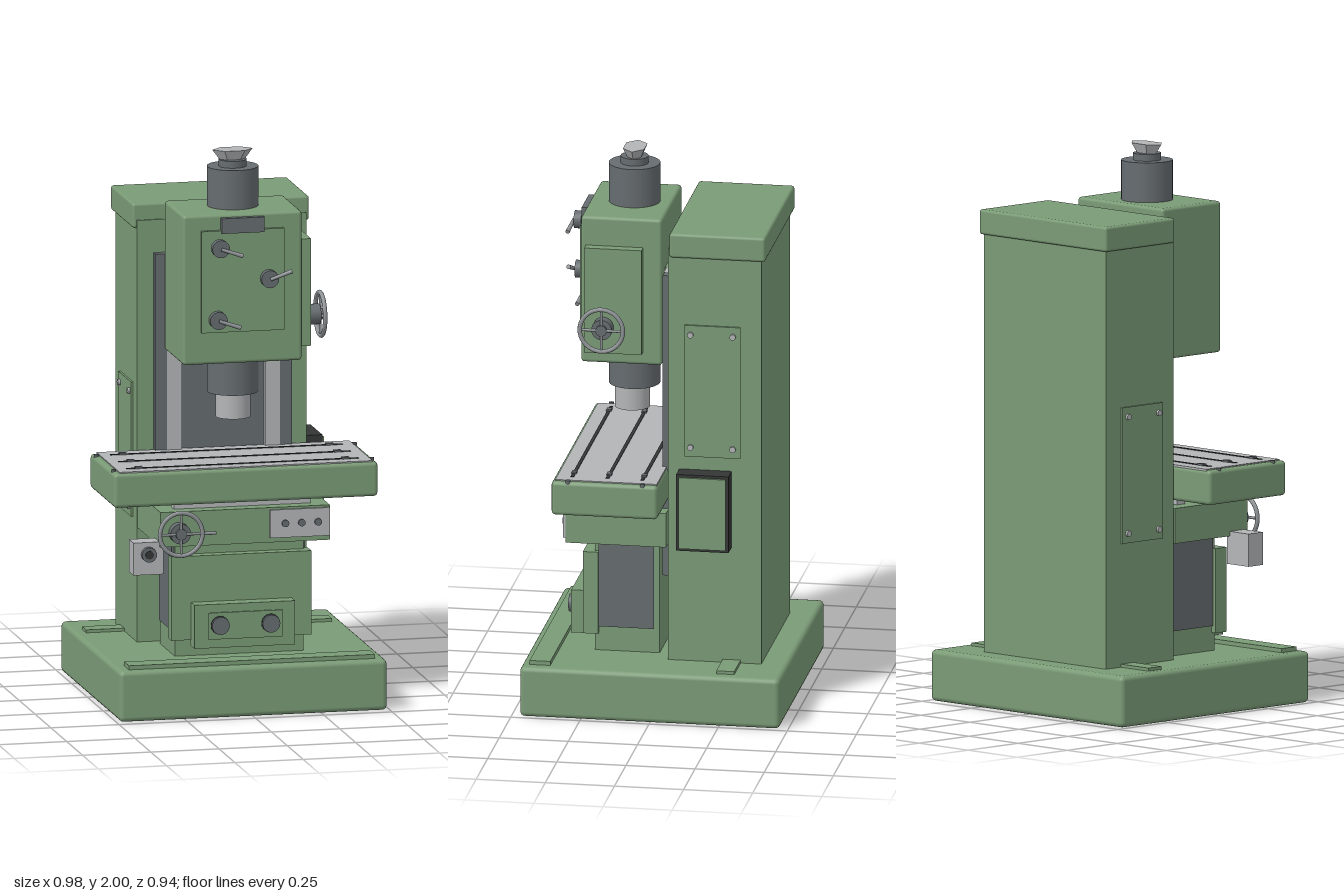
import * as THREE from 'three';
import { RoundedBoxGeometry } from 'three/addons/geometries/RoundedBoxGeometry.js';

const mat = (name, color) => {
  const m = new THREE.MeshStandardMaterial({ color });
  m.name = name;
  return m;
};

export function createModel() {
  const green = mat('machine green', 0x7a9b76);
  const grey = mat('dark grey steel', 0x666c70);
  const light = mat('light steel', 0xb3b5b7);
  const black = mat('black', 0x343535);
  const bright = mat('handle steel', 0x8f9396);
  const root = new THREE.Group();
  root.name = 'millingMachine';

  const add = (name, geometry, material, parent = root) => {
    const mesh = new THREE.Mesh(geometry, material);
    mesh.name = name;
    parent.add(mesh);
    return mesh;
  };
  // Box from its extents, with an optional softened edge
  const box = (name, material, [x0, x1], [y0, y1], [z0, z1], r = 0) => {
    const s = [x1 - x0, y1 - y0, z1 - z0];
    const g = r ? new RoundedBoxGeometry(...s, 2, r) : new THREE.BoxGeometry(...s);
    return add(name, g.translate((x0 + x1) / 2, (y0 + y1) / 2, (z0 + z1) / 2), material);
  };
  // Cylinder between two points
  const rod = (name, material, a, b, r, r2 = r, sides = 24, parent = root) => {
    const p = new THREE.Vector3(...a), q = new THREE.Vector3(...b);
    const d = q.clone().sub(p);
    const mesh = add(name, new THREE.CylinderGeometry(r2, r, d.length(), sides), material, parent);
    mesh.position.copy(p).add(q).multiplyScalar(0.5);
    mesh.quaternion.setFromUnitVectors(new THREE.Vector3(0, 1, 0), d.normalize());
    return mesh;
  };
  // Spoked wheel facing +z
  const handwheel = (name, x, y, z) => {
    const wheel = new THREE.Group();
    wheel.name = name;
    wheel.position.set(x, y, z);
    add('rim', new THREE.TorusGeometry(0.078, 0.008, 10, 40), bright, wheel);
    for (let i = 0; i < 4; i++) {
      const a = i * Math.PI / 2;
      rod('spoke', bright, [0, 0, 0], [0.078 * Math.cos(a), 0.078 * Math.sin(a), 0], 0.005, 0.005, 8, wheel);
    }
    rod('hub', grey, [0, 0, -0.045], [0, 0, -0.004], 0.037, 0.037, 24, wheel);
    rod('hubCap', grey, [0, 0, -0.01], [0, 0, 0.008], 0.02, 0.02, 24, wheel);
    root.add(wheel);
    return wheel;
  };

  // Base with floor strips
  box('base', green, [-0.49, 0.49], [0, 0.185], [-0.47, 0.47], 0.018);
  box('frontStrip', green, [-0.45, 0.45], [0.18, 0.2], [0.365, 0.44]);
  box('rearStrip', green, [-0.45, 0.45], [0.18, 0.196], [-0.3, -0.235]);

  // Column, cap and vertical ways
  box('column', green, [-0.31, 0.31], [0.17, 1.72], [-0.375, -0.037]);
  box('columnCap', green, [-0.325, 0.322], [1.69, 1.78], [-0.39, -0.043], 0.01);
  box('wayPlate', grey, [-0.19, 0.19], [0.48, 1.6], [-0.04, -0.031]);
  for (const s of [-1, 1]) {
    const span = (a, b) => (s > 0 ? [a, b] : [-b, -a]);
    box('way', grey, span(0.19, 0.25), [0.48, 1.6], [-0.04, -0.008]);
    box('wayFace', light, span(0.152, 0.207), [0.48, 1.6], [-0.037, -0.005]);
    // Service cover with corner bolts
    const y0 = s > 0 ? 0.95 : 0.63;
    box('serviceCover', green, span(0.305, 0.318), [y0, y0 + 0.49], [-0.3, -0.098]);
    for (const y of [y0 + 0.035, y0 + 0.455]) for (const z of [-0.12, -0.273])
      rod('coverBolt', light, [s * 0.315, y, z], [s * 0.327, y, z], 0.011, 0.011, 12);
  }
  box('headCarriage', green, [-0.15, 0.15], [1.28, 1.6], [-0.035, 0.01]);

  // Electrical box on the column
  box('electricalBox', black, [0.3, 0.378], [0.615, 0.9], [-0.267, -0.078]);
  box('electricalBoxDoor', green, [0.376, 0.386], [0.625, 0.89], [-0.257, -0.088]);

  // Head with front and side panels
  box('head', green, [-0.218, 0.218], [1.252, 1.797], [0, 0.293], 0.012);
  box('headFrontPanel', green, [-0.153, 0.15], [1.37, 1.74], [0.285, 0.308]);
  box('headPlate', grey, [-0.08, 0.076], [1.73, 1.785], [0.29, 0.314]);
  box('headSidePanel', green, [0.21, 0.255], [1.3, 1.69], [0.068, 0.275]);

  // Selector knobs with levers: x, y, outward offset, lever rise
  for (const [x, y, out, rise] of [[-0.095, 1.685, 0.035, -0.025], [0.093, 1.56, 0, 0.03], [-0.095, 1.417, 0, -0.025]]) {
    const z = 0.31 + out;
    rod('selectorKnob', grey, [x, y, z - 0.005], [x, y, z + 0.022], 0.032);
    if (out) rod('selectorShaft', grey, [x, y, 0.3], [x, y, z], 0.012);
    rod('selectorLever', bright, [x, y, z + 0.025], [x + 0.077, y + rise, z + 0.036], 0.006, 0.008, 10);
  }
  handwheel('headHandwheel', 0.305, 1.4, 0.205).rotation.y = Math.PI / 2;

  // Spindle through the head
  const sz = 0.135;
  rod('motorHousing', grey, [0, 1.79, sz], [0, 1.94, sz], 0.092, 0.092, 40);
  rod('drawbarCollar', grey, [0, 1.94, sz], [0, 1.965, sz], 0.05, 0.05, 32);
  const nut = new THREE.CylinderGeometry(0.074, 0.045, 0.038, 6).toNonIndexed();
  nut.rotateY(Math.PI / 2).scale(1, 1, 0.6).computeVertexNormals();
  add('drawbarNut', nut, light).position.set(0, 1.981, sz - 0.002);
  rod('quill', grey, [0, 1.12, sz], [0, 1.26, sz], 0.092, 0.092, 40);
  rod('spindleNose', light, [0, 1.03, sz + 0.008], [0, 1.13, sz + 0.008], 0.063, 0.063, 32);

  // Work table with slots, clamps and corner pins
  box('table', green, [-0.485, 0.482], [0.757, 0.882], [-0.027, 0.357], 0.014);
  box('tableTop', light, [-0.462, 0.464], [0.876, 0.886], [-0.022, 0.345]);
  for (const z of [0.037, 0.163, 0.29]) {
    box('tableSlot', black, [-0.425, 0.425], [0.882, 0.888], [z - 0.006, z + 0.006]);
    for (const x of [-0.38, 0.377])
      box('slotNut', grey, [x - 0.013, x + 0.013], [0.882, 0.893], [z - 0.009, z + 0.009]);
  }
  for (const x of [-0.473, 0.472]) for (const z of [0.028, 0.298])
    rod('tablePin', grey, [x, 0.87, z], [x, 0.888, z], 0.009, 0.009, 12);

  // Saddle with slide rails
  box('saddle', green, [-0.31, 0.31], [0.603, 0.73], [-0.03, 0.334]);
  for (const z of [0.06, 0.265])
    box('slideRail', light, [-0.25, 0.25], [0.725, 0.76], [z - 0.02, z + 0.02]);
  box('controlPanel', light, [0.09, 0.308], [0.62, 0.722], [0.33, 0.342]);
  for (const x of [0.145, 0.205, 0.265])
    rod('controlButton', grey, [x, 0.672, 0.34], [x, 0.672, 0.35], 0.013, 0.013, 16);
  handwheel('tableHandwheel', -0.243, 0.655, 0.372);
  rod('wheelHandle', bright, [-0.165, 0.655, 0.372], [-0.115, 0.655, 0.372], 0.006, 0.006, 10);

  // Switch box beside the saddle
  box('switchBox', light, [-0.405, -0.295], [0.502, 0.62], [0.245, 0.317]);
  rod('switchKnob', grey, [-0.35, 0.577, 0.31], [-0.35, 0.577, 0.335], 0.027);
  rod('switchKnobCap', black, [-0.35, 0.577, 0.33], [-0.35, 0.577, 0.338], 0.015);

  // Pedestal with side guards and front housing
  box('pedestal', green, [-0.236, 0.236], [0.17, 0.61], [0.005, 0.24]);
  for (const x of [-0.239, 0.239])
    box('sideGuard', grey, [x - 0.005, x + 0.005], [0.275, 0.603], [0.025, 0.225]);
  box('frontHousing', green, [-0.258, 0.255], [0.25, 0.555], [0.225, 0.28]);
  box('lowerControlBox', green, [-0.185, 0.183], [0.228, 0.387], [0.26, 0.334]);
  box('lowerControlPanel', green, [-0.135, 0.135], [0.26, 0.357], [0.33, 0.34]);
  for (const x of [-0.093, 0.092]) {
    rod('lowerKnob', grey, [x, 0.311, 0.335], [x, 0.311, 0.355], 0.032);
    rod('lowerKnobRim', black, [x, 0.311, 0.335], [x, 0.311, 0.343], 0.034);
  }
  return root;
}
